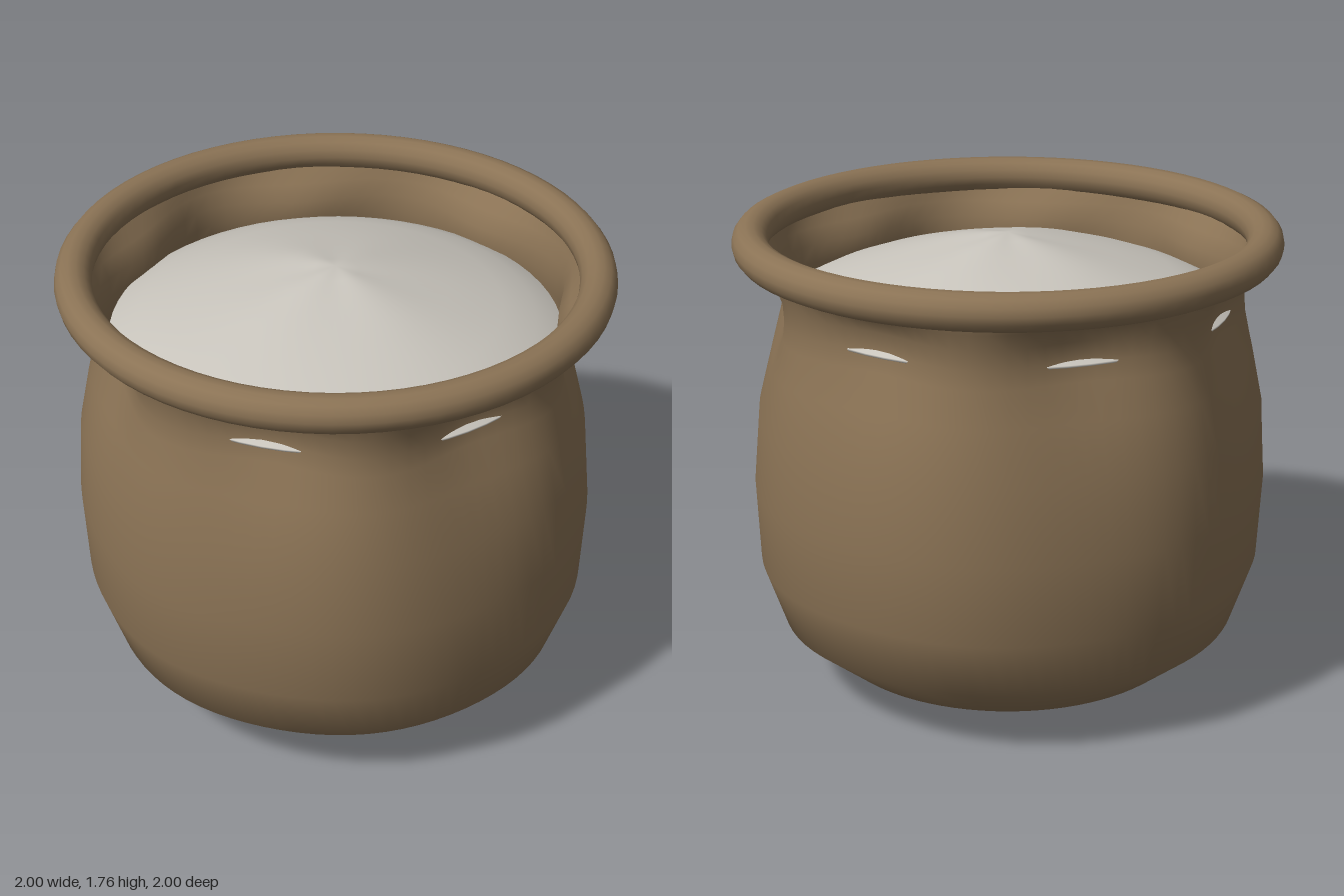
import * as THREE from 'three';
import { mergeVertices } from 'three/addons/utils/BufferGeometryUtils.js';

const PLEATS = 7;
const VALLEY = THREE.MathUtils.degToRad(-16.3); // azimuth of one pleat valley, from +z towards +x

// Turned surface whose vertices are moved by a rule, welded for smooth shading
function turned(profile, segments, rule) {
  const geo = new THREE.LatheGeometry(profile.map(([r, y]) => new THREE.Vector2(r, y)), segments);
  const pos = geo.attributes.position;
  for (let i = 0; i < pos.count; i++) {
    const x = pos.getX(i), z = pos.getZ(i);
    const r = Math.hypot(x, z);
    const a = Math.atan2(x, z);
    const [nr, ny] = rule(r, pos.getY(i), a, i % profile.length);
    pos.setXYZ(i, nr * Math.sin(a), ny, nr * Math.cos(a));
  }
  geo.deleteAttribute('uv');
  geo.deleteAttribute('normal');
  const welded = mergeVertices(geo, 1e-4);
  welded.computeVertexNormals();
  return welded;
}

export function createModel() {
  const group = new THREE.Group();
  const cloth = new THREE.MeshStandardMaterial({ color: 0x8b7355, side: THREE.DoubleSide });
  cloth.name = 'brown cloth';
  const flour = new THREE.MeshStandardMaterial({ color: 0xc8c4bc, side: THREE.DoubleSide });
  flour.name = 'pale flour';

  const add = (name, geo, mat) => {
    const mesh = new THREE.Mesh(geo, mat);
    mesh.name = name;
    group.add(mesh);
    return mesh;
  };

  // Sack: radius, height, pleat depth for each ring
  const rings = [
    [0, 0.005, 0], [0.39, 0.04, 0], [0.675, 0.11, 0], [0.86, 0.26, 0.003],
    [0.94, 0.49, 0.005], [0.955, 0.79, 0.008], [0.935, 1.07, 0.013],
    [0.885, 1.27, 0.024], [0.846, 1.4, 0.035], [0.836, 1.47, 0.039],
    [0.84, 1.54, 0.04], [0.868, 1.6, 0.03], [0.9, 1.65, 0.012], [0.92, 1.7, 0],
  ];
  add('sack', turned(rings, 84, (r, y, a, k) =>
    [r - rings[k][2] * Math.cos(PLEATS * (a - VALLEY)), y]), cloth);

  // Rolled rim
  const rim = add('rolledRim', new THREE.TorusGeometry(0.933, 0.067, 14, 72), cloth);
  rim.rotation.x = Math.PI / 2;
  rim.position.y = 1.695;

  // Heaped filling, its edge showing through the pleat valleys
  const heap = [
    [0.78, 1.448], [0.819, 1.456], [0.82, 1.464], [0.72, 1.515], [0.6, 1.56],
    [0.4, 1.62], [0.2, 1.672], [0.08, 1.695], [0, 1.71],
  ];
  add('filling', turned(heap, 64, (r, y, a) => {
    const crease = 0.006 * Math.cos(4 * a) * Math.sin(Math.PI * Math.min(r / 0.5, 1));
    return [r, y - crease];
  }), flour);

  return group;
}
